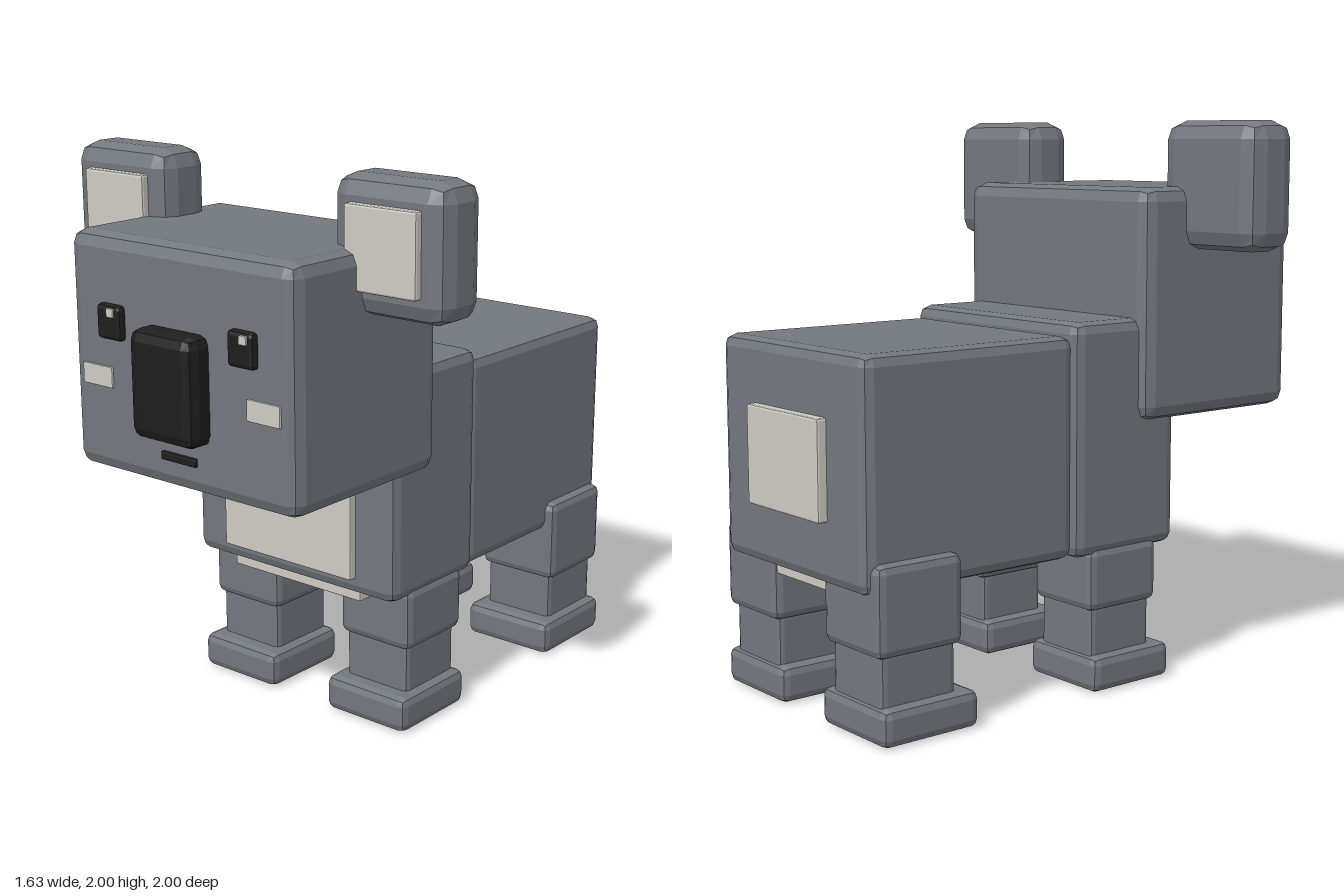
import * as THREE from 'three';
import { RoundedBoxGeometry } from 'three/addons/geometries/RoundedBoxGeometry.js';

const material = (name, color) => {
  const m = new THREE.MeshStandardMaterial({ color, flatShading: true });
  m.name = name;
  return m;
};

export function createModel() {
  const fur = material('grey fur', 0x73787f);
  const cream = material('pale cream', 0xcecbc3);
  const black = material('soft black', 0x1e1e1e);
  const model = new THREE.Group();
  model.name = 'blockAnimal';

  // Bevelled block given by its extents on each axis
  function block(name, mat, [x0, x1], [y0, y1], [z0, z1], bevel, parent = model) {
    const geometry = new RoundedBoxGeometry(x1 - x0, y1 - y0, z1 - z0, 1, bevel);
    const mesh = new THREE.Mesh(geometry, mat);
    mesh.position.set((x0 + x1) / 2, (y0 + y1) / 2, (z0 + z1) / 2);
    mesh.name = name;
    parent.add(mesh);
    return mesh;
  }

  // The same block on the left (+x) and right (-x) sides
  function pair(name, mat, [x0, x1], y, z, bevel) {
    block(name + 'Left', mat, [x0, x1], y, z, bevel);
    block(name + 'Right', mat, [-x1, -x0], y, z, bevel);
  }

  // Torso
  block('chest', fur, [-0.46, 0.46], [0.49, 1.315], [-0.105, 0.37], 0.04);
  block('hindBody', fur, [-0.435, 0.435], [0.49, 1.27], [-0.965, -0.09], 0.04);
  block('chestPatch', cream, [-0.295, 0.295], [0.555, 1.0], [0.35, 0.4], 0.006);
  block('frontBellyPatch', cream, [-0.295, 0.295], [0.46, 0.51], [-0.095, 0.345], 0.006);
  block('rearBellyPatch', cream, [-0.295, 0.295], [0.46, 0.51], [-0.93, -0.115], 0.006);
  block('rumpPatch', cream, [-0.218, 0.218], [0.705, 1.05], [-1, -0.95], 0.008);

  // Head and ears
  block('head', fur, [-0.5, 0.5], [0.95, 1.77], [0.18, 0.91], 0.05);
  pair('ear', fur, [0.365, 0.817], [1.55, 2.0], [0.37, 0.587], 0.065);
  pair('innerEar', cream, [0.446, 0.73], [1.638, 1.914], [0.56, 0.615], 0.008);

  // Face
  block('nose', black, [-0.142, 0.142], [1.13, 1.5], [0.88, 1.0], 0.04);
  block('mouth', black, [-0.08, 0.078], [1.05, 1.08], [0.9, 0.922], 0.006);
  pair('eye', black, [0.238, 0.35], [1.42, 1.54], [0.88, 0.935], 0.015);
  pair('cheek', cream, [0.303, 0.443], [1.25, 1.322], [0.9, 0.918], 0.004);
  for (const x of [-0.28, 0.312]) {
    block('eyeHighlight', cream, [x - 0.016, x + 0.016], [1.5, 1.53], [0.92, 0.942], 0.003);
  }

  // Legs: thigh, shin and paw
  const front = {
    thigh: [[0.15, 0.46], [0.29, 0.52], [-0.035, 0.285]],
    shin: [[0.168, 0.44], [0.1, 0.31], [-0.012, 0.265]],
    paw: [[0.125, 0.48], [0, 0.13], [-0.032, 0.335]],
  };
  const rear = {
    thigh: [[0.145, 0.472], [0.29, 0.6], [-0.943, -0.602]],
    shin: [[0.165, 0.45], [0.1, 0.31], [-0.918, -0.622]],
    paw: [[0.118, 0.49], [0, 0.13], [-0.937, -0.55]],
  };
  for (const [place, leg] of Object.entries({ front, rear })) {
    pair(place + 'Thigh', fur, ...leg.thigh, 0.03);
    pair(place + 'Shin', fur, ...leg.shin, 0.02);
    pair(place + 'Paw', fur, ...leg.paw, 0.03);
  }

  return model;
}
